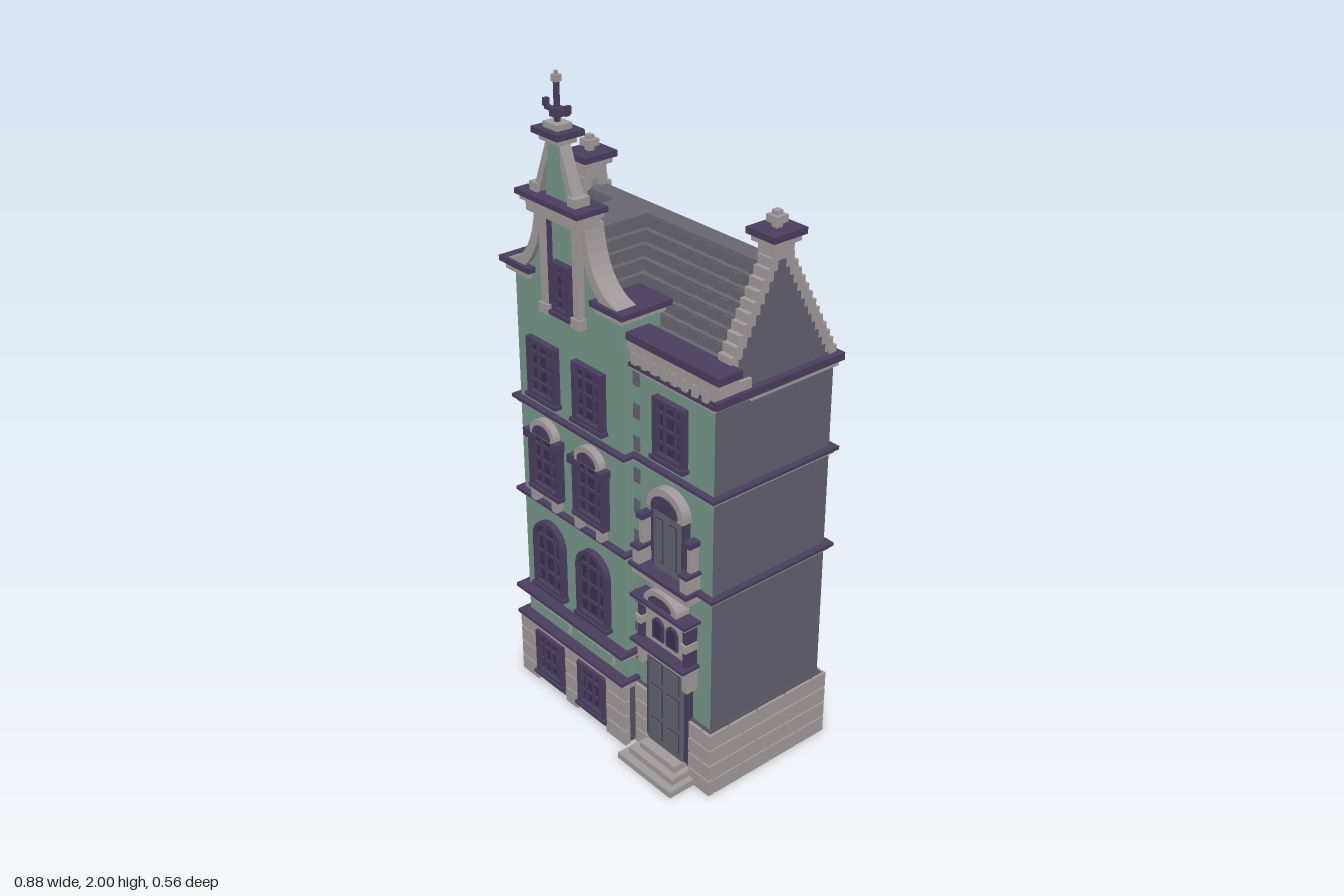
import * as THREE from 'three';

const mat = (name, color) => Object.assign(new THREE.MeshStandardMaterial({ color }), { name });
const stone = mat('pale stone', 0xa29a9a), purple = mat('purple trim', 0x4a3d5e), green = mat('green wall', 0x76978a);
const wall = mat('grey wall', 0x636070), roofMat = mat('roof tile', 0x68666f), glass = mat('dark glass', 0x35304a);
const doorMat = mat('door grey', 0x62636f), mortar = mat('mortar', 0x56525c);

export function createModel() {
  const root = new THREE.Group();
  root.name = 'townhouse';
  let target = root;
  const group = (name, build) => {
    const g = new THREE.Group(), old = target;
    g.name = name; old.add(g); target = g; build(); target = old;
  };
  const add = (name, geo, m) => {
    const mesh = new THREE.Mesh(geo, m);
    mesh.name = name; target.add(mesh);
    return mesh;
  };
  // Box given by its extents
  const box = (name, m, x0, x1, y0, y1, z0, z1) =>
    add(name, new THREE.BoxGeometry(x1 - x0, y1 - y0, z1 - z0).translate((x0 + x1) / 2, (y0 + y1) / 2, (z0 + z1) / 2), m);
  const extrude = (shape, z0, z1) =>
    new THREE.ExtrudeGeometry(shape, { depth: z1 - z0, bevelEnabled: false, curveSegments: 8 }).translate(0, 0, z0);
  const poly = pts => new THREE.Shape(pts.map(p => new THREE.Vector2(...p)));
  // Extrusion of a (z, y) profile along x
  const alongX = (shape, x0, x1) => extrude(shape, 0, x1 - x0).rotateY(-Math.PI / 2).translate(x1, 0, 0);
  const archShape = (cx, w, y0, y1, rise) => {
    const s = new THREE.Shape();
    s.moveTo(cx - w / 2, y0); s.lineTo(cx + w / 2, y0); s.lineTo(cx + w / 2, y1 - rise);
    s.absellipse(cx, y1 - rise, w / 2, rise, 0, Math.PI, false);
    s.closePath();
    return s;
  };

  const CX = -0.17, BAY = 0.2, SIDE = 0.165;

  // Walls
  group('walls', () => {
    box('mainBody', [wall, green, wall, wall, green, wall], -0.4, 0.4, 0.2, 1.26, -0.26, SIDE);
    box('frontBay', green, -0.4, 0.075, 0.2, 1.4, 0.05, BAY);
    for (let i = 0; i < 20; i++) {
      if (i % 2) box('quoin', wall, 0.072, 0.1, 0.24 + i * 0.05, 0.285 + i * 0.05, SIDE, SIDE + 0.004);
    }
  });

  // Stone base with staggered blocks
  group('stoneBase', () => {
    box('baseCore', mortar, -0.412, 0.412, 0, 0.218, -0.268, 0.175);
    box('bayBaseCore', mortar, -0.412, 0.085, 0, 0.218, 0, 0.212);
    const run = (a0, a1, p0, p1, alongZ) => {
      for (let r = 0; r < 4; r++) {
        for (let a = a0 - (r % 2) * 0.055; a < a1 - 0.004; a += 0.11) {
          const s = Math.max(a, a0), e = Math.min(a + 0.105, a1), y = r * 0.055;
          if (e - s < 0.008) continue;
          if (alongZ) box('block', stone, p0, p1, y, y + 0.05, s, e);
          else box('block', stone, s, e, y, y + 0.05, p0, p1);
        }
      }
    };
    run(-0.275, 0.175, 0.405, 0.42, true);
    run(-0.275, 0.222, -0.42, -0.405, true);
    run(-0.42, 0.42, -0.277, -0.262, false);
    for (const [a, b] of [[-0.42, -0.34], [-0.198, -0.142], [0.002, 0.092]]) run(a, b, 0.205, 0.224, false);
    for (const [a, b] of [[0.092, 0.145], [0.33, 0.42]]) run(a, b, 0.17, 0.185, false);
    box('bayPlinthCap', stone, -0.415, 0.088, 0.2, 0.22, 0.1, 0.226);
    box('bayPlinthEdge', purple, -0.42, 0.092, 0.22, 0.23, 0.1, 0.235);
  });

  // String courses wrapping the whole house
  for (const y of [0.648, 0.962]) group('stringCourse', () => {
    for (const [m, a, b, o] of [[stone, y, y + 0.012, 0.01], [purple, y + 0.012, y + 0.022, 0.02]]) {
      box('mainCourse', m, -0.4 - o, 0.4 + o, a, b, -0.26 - o, SIDE + o);
      box('bayCourse', m, -0.4 - o, 0.075 + o, a, b, 0, BAY + o);
    }
  });
  group('bayPanels', () => {
    box('panelCornice', stone, -0.41, 0.085, 0.302, 0.316, 0.1, 0.222);
    box('panelCorniceEdge', purple, -0.42, 0.092, 0.316, 0.328, 0.1, 0.235);
    for (const s of [-1, 1]) {
      box('panelFrame', stone, CX + s * 0.105 - 0.085, CX + s * 0.105 + 0.085, 0.245, 0.29, BAY, 0.208);
      box('panel', green, CX + s * 0.105 - 0.078, CX + s * 0.105 + 0.078, 0.252, 0.283, BAY, 0.213);
    }
  });

  // Windows: frame with hole, glass, glazing bars and sill
  const windowAt = (cx, w, y0, y1, z, rise = 0, cols = 3, rows = 4) => group('window', () => {
    const outline = (t) => rise ? archShape(cx, w - 2 * t, y0 + t, y1 - t, rise - t)
      : poly([[cx - w / 2 + t, y0 + t], [cx + w / 2 - t, y0 + t], [cx + w / 2 - t, y1 - t], [cx - w / 2 + t, y1 - t]]);
    const frame = outline(0);
    frame.holes.push(outline(0.014));
    add('frame', extrude(frame, z, z + 0.02), purple);
    add('glass', extrude(outline(0.012), z, z + 0.005), glass);
    for (let i = 1; i < cols; i++) {
      const x = cx - w / 2 + (w * i) / cols;
      box('upright', purple, x - 0.004, x + 0.004, y0 + 0.01, y1 - (rise ? rise * 0.3 : 0.01), z, z + 0.012);
    }
    for (let i = 1; i < rows; i++) {
      const y = y0 + ((y1 - y0) * i) / rows;
      const k = rise && y > y1 - rise ? 0.35 : 0.47;
      box('crossbar', purple, cx - w * k, cx + w * k, y - 0.004, y + 0.004, z, z + 0.012);
    }
    box('sill', purple, cx - w / 2 - 0.006, cx + w / 2 + 0.006, y0 - 0.008, y0 + 0.004, z, z + 0.026);
  });
  for (const s of [-1, 1]) {
    const x = CX + s * 0.104;
    windowAt(x, 0.13, 0.038, 0.192, 0.21, 0, 4, 3);
    windowAt(x, 0.142, 0.365, 0.605, BAY, 0.07);
    windowAt(x, 0.132, 0.715, 0.905, BAY, 0, 3, 4);
    windowAt(x, 0.13, 1.02, 1.2, BAY, 0, 3, 4);
    // Arched hood and brackets around the second-floor windows
    group('windowHood', () => {
      add('hoodArch', extrude(archShape(x, 0.116, 0.895, 0.952, 0.045), BAY, 0.224), stone);
      add('hoodInset', extrude(archShape(x, 0.08, 0.9, 0.935, 0.03), BAY, 0.228), purple);
      for (const t of [-1, 1]) {
        box('hoodEnd', purple, x + t * 0.067 - 0.01, x + t * 0.067 + 0.01, 0.88, 0.905, BAY, 0.235);
        box('sideStrip', purple, x + t * 0.067 - 0.005, x + t * 0.067 + 0.005, 0.72, 0.88, BAY, 0.222);
        box('sillBracket', stone, x + t * 0.05 - 0.011, x + t * 0.05 + 0.011, 0.67, 0.708, BAY, 0.226);
      }
    });
  }
  windowAt(0.235, 0.125, 1.02, 1.2, SIDE, 0, 3, 4);
  windowAt(CX, 0.078, 1.32, 1.47, BAY, 0, 2, 4);

  // Entrance: steps, door, portal and small arched light
  group('entrance', () => {
    for (let i = 0; i < 3; i++) box('step', stone, 0.12 + i * 0.02, 0.355 - i * 0.02, i * 0.02, i * 0.02 + 0.02, 0.1, 0.275 - i * 0.025);
    box('doorFrame', purple, 0.148, 0.326, 0.06, 0.395, 0.1, 0.186);
    box('door', doorMat, 0.162, 0.312, 0.06, 0.385, 0.1, 0.192);
    for (const s of [-1, 1]) for (const [a, b] of [[0.085, 0.15], [0.17, 0.27], [0.29, 0.36]]) {
      const x = 0.237 + s * 0.036;
      box('doorPanelEdge', purple, x - 0.026, x + 0.026, a, b, 0.18, 0.194);
      box('doorPanel', doorMat, x - 0.022, x + 0.022, a + 0.004, b - 0.004, 0.18, 0.197);
    }
    box('ledge', stone, 0.13, 0.345, 0.392, 0.408, 0.1, 0.22);
    box('ledgeTop', purple, 0.122, 0.352, 0.408, 0.418, 0.1, 0.228);
    box('portalPanel', stone, 0.15, 0.324, 0.418, 0.545, 0.1, 0.19);
    for (const s of [-1, 1]) {
      const x = 0.237 + s * 0.03;
      add('smallLight', extrude(archShape(x, 0.048, 0.438, 0.51, 0.024), 0.18, 0.196), purple);
      add('smallGlass', extrude(archShape(x, 0.032, 0.446, 0.502, 0.016), 0.18, 0.199), glass);
      const c = 0.237 + s * 0.096;
      box('portalColumn', purple, c - 0.008, c + 0.008, 0.418, 0.545, 0.1, 0.205);
      box('portalBlock', stone, c - 0.012, c + 0.012, 0.47, 0.495, 0.1, 0.212);
      box('doorBracket', stone, c - 0.011, c + 0.011, 0.33, 0.392, 0.1, 0.205);
    }
    box('portalCornice', stone, 0.13, 0.345, 0.545, 0.558, 0.1, 0.215);
    box('portalCorniceTop', purple, 0.12, 0.355, 0.558, 0.568, 0.1, 0.225);
    add('portalArch', extrude(archShape(0.237, 0.14, 0.568, 0.615, 0.04), 0.15, 0.212), stone);
    add('portalArchInset', extrude(archShape(0.237, 0.095, 0.572, 0.6, 0.024), 0.15, 0.215), purple);
  });

  // Balcony doorway on the second floor
  group('balcony', () => {
    box('balconySlab', stone, 0.12, 0.355, 0.635, 0.66, 0.1, 0.215);
    box('balconySlabTop', purple, 0.115, 0.36, 0.66, 0.672, 0.1, 0.225);
    box('balconyDoorFrame', purple, 0.165, 0.309, 0.67, 0.87, 0.1, 0.182);
    for (const s of [-1, 1]) {
      const x = 0.237 + s * 0.028;
      box('balconyDoor', doorMat, x - 0.026, x + 0.026, 0.675, 0.865, 0.1, 0.188);
      box('balconyDoorGroove', purple, x - 0.015, x + 0.015, 0.7, 0.84, 0.15, 0.19);
      box('balconyDoorPanel', doorMat, x - 0.011, x + 0.011, 0.705, 0.835, 0.15, 0.193);
      const c = 0.237 + s * 0.1;
      box('post', stone, c - 0.014, c + 0.014, 0.672, 0.72, 0.1, 0.215);
      box('postCap', purple, c - 0.018, c + 0.018, 0.72, 0.73, 0.1, 0.22);
      box('postShaft', stone, c - 0.008, c + 0.008, 0.73, 0.81, 0.16, 0.195);
      box('postTop', purple, c - 0.013, c + 0.013, 0.81, 0.826, 0.16, 0.203);
    }
    add('balconyHood', extrude(archShape(0.237, 0.15, 0.865, 0.94, 0.06), 0.15, 0.195), stone);
    add('balconyHoodInset', extrude(archShape(0.237, 0.105, 0.87, 0.918, 0.038), 0.15, 0.2), purple);
  });

  // Eaves
  group('eaves', () => {
    box('backFrieze', stone, -0.41, 0.41, 1.232, 1.25, -0.27, 0.05);
    box('backEdge', purple, -0.418, 0.422, 1.25, 1.272, -0.28, 0.05);
    box('rightReturn', purple, 0.3, 0.422, 1.25, 1.272, 0, 0.18);
    box('frontFrieze', stone, 0.075, 0.41, 1.24, 1.3, 0.05, 0.178);
    box('frontFriezeEdge', purple, 0.075, 0.416, 1.25, 1.262, 0.05, 0.184);
    for (let x = 0.095; x < 0.41; x += 0.04) box('bracket', stone, x, x + 0.018, 1.265, 1.3, 0.1, 0.19);
    box('frontCornice', stone, 0.075, 0.43, 1.3, 1.33, 0.11, 0.187);
    box('frontCorniceTop', purple, 0.075, 0.44, 1.33, 1.352, 0.11, 0.192);
  });

  // Stepped tile roof: main ridge along x, cross roof behind the front gable
  group('roof', () => {
    const N = 9, H = 0.3 / N, stepped = (c, half, d) => {
      const right = [];
      for (let i = 0; i < N; i++) {
        const w = half + d * (N - i);
        right.push([c + w, 1.27 + i * H], [c + w, 1.27 + (i + 1) * H]);
      }
      return poly([...right, ...right.map(([a, y]) => [2 * c - a, y]).reverse()]);
    };
    add('mainRoof', alongX(stepped(-0.06, 0.016, 0.0165), -0.365, 0.37), roofMat);
    add('crossRoof', extrude(stepped(CX, 0.056, 0.015), -0.06, 0.16), roofMat);
    box('ridge', roofMat, -0.36, 0.365, 1.555, 1.575, -0.09, -0.03);
    box('crossRidge', roofMat, -0.24, -0.1, 1.555, 1.575, -0.06, 0.16);
    // Raised tiles, staggered by row
    for (let i = 0; i < N; i++) for (let x = -0.34 + (i % 2) * 0.035; x < 0.31; x += 0.07) {
      const w = 0.016 + 0.0165 * (N - i), y = 1.27 + i * H;
      box('tile', roofMat, x, x + 0.035, y, y + H - 0.006, -0.06 - w - 0.003, -0.06 - w);
      if (x > 0.03) box('tile', roofMat, x, x + 0.035, y, y + H - 0.006, -0.06 + w, -0.06 + w + 0.003);
    }
  });

  // End gables with stepped coping and capped tops
  for (const [x, s, m] of [[-0.375, -1, green], [0.378, 1, wall]]) group('endGable', () => {
    const x0 = s > 0 ? 0.36 : -0.4, x1 = x0 + 0.04, zc = -0.052;
    add('gableWall', alongX(poly([[-0.255, 1.25], [0.15, 1.25], [zc, 1.62]]), x0, x1), m);
    for (const t of [-1, 1]) for (let i = 0; i < 14; i++) {
      const z = zc + t * (0.2 - i * 0.0143), y = 1.268 + i * 0.0262;
      box('copingStep', stone, x - 0.023, x + 0.025, y - 0.012, y + 0.026, z - 0.013, z + 0.013);
    }
    box('neck', stone, x - 0.03, x + 0.03, 1.6, 1.64, zc - 0.035, zc + 0.035);
    box('capLower', stone, x - 0.042, x + 0.042, 1.64, 1.658, zc - 0.048, zc + 0.048);
    box('cap', purple, x - 0.052, x + 0.052, 1.658, 1.676, zc - 0.058, zc + 0.058);
    box('knobStem', stone, x - 0.01, x + 0.01, 1.676, 1.722, zc - 0.01, zc + 0.01);
    box('knob', stone, x - 0.02, x + 0.02, 1.69, 1.71, zc - 0.02, zc + 0.02);
  });

  // Ornate front gable
  group('frontGable', () => {
    const g = new THREE.Shape();
    g.moveTo(CX - 0.225, 1.39); g.lineTo(CX + 0.225, 1.39);
    g.quadraticCurveTo(CX + 0.11, 1.43, CX + 0.095, 1.62);
    g.lineTo(CX - 0.095, 1.62);
    g.quadraticCurveTo(CX - 0.11, 1.43, CX - 0.225, 1.39);
    add('gableFace', extrude(g, 0.155, BAY), green);
    for (const s of [-1, 1]) {
      const v = new THREE.Shape(), X = a => CX + s * a;
      v.moveTo(X(0.24), 1.415);
      v.quadraticCurveTo(X(0.125), 1.44, X(0.108), 1.61);
      v.lineTo(X(0.082), 1.61);
      v.quadraticCurveTo(X(0.095), 1.43, X(0.215), 1.385);
      v.closePath();
      add('scroll', extrude(v, 0.15, 0.215), stone);
      const span = (name, m, a, b, ...r) => box(name, m, Math.min(X(a), X(b)), Math.max(X(a), X(b)), ...r);
      span('shoulder', stone, 0.15, 0.255, 1.378, 1.398, 0.06, 0.215);
      span('shoulderCap', purple, 0.135, 0.272, 1.398, 1.414, 0.05, 0.226);
      span('pilaster', stone, 0.058, 0.084, 1.33, 1.61, 0.19, 0.22);
      span('pilasterDrop', stone, 0.052, 0.09, 1.305, 1.335, 0.19, 0.226);
      span('pilasterEdge', purple, 0.053, 0.057, 1.335, 1.6, 0.19, 0.215);
      // Slanted brace beside the pinnacle
      add('brace', extrude(poly([[X(0.09), 1.66], [X(0.066), 1.66], [X(0.03), 1.755], [X(0.03), 1.81]]), 0.192, 0.228), stone);
      span('braceFoot', stone, 0.066, 0.098, 1.655, 1.685, 0.185, 0.236);
      span('finialArm', purple, 0.01, 0.045, 1.89, 1.9, 0.203, 0.217);
      span('finialTip', purple, 0.04, 0.053, 1.897, 1.918, 0.203, 0.217);
    }
    box('pedimentLower', stone, CX - 0.112, CX + 0.112, 1.6, 1.63, 0.165, 0.24);
    box('pedimentMiddle', stone, CX - 0.125, CX + 0.125, 1.63, 1.645, 0.16, 0.25);
    box('pedimentCap', purple, CX - 0.135, CX + 0.135, 1.645, 1.66, 0.155, 0.26);
    add('pinnacle', extrude(poly([[CX - 0.042, 1.66], [CX + 0.042, 1.66], [CX + 0.026, 1.83], [CX - 0.026, 1.83]]), 0.197, 0.223), green);
    box('topCapLower', stone, CX - 0.042, CX + 0.042, 1.815, 1.833, 0.18, 0.24);
    box('topCap', purple, CX - 0.056, CX + 0.056, 1.833, 1.85, 0.165, 0.255);
    box('finialBase', stone, CX - 0.03, CX + 0.03, 1.85, 1.866, 0.185, 0.235);
    box('finialStem', purple, CX - 0.006, CX + 0.006, 1.866, 1.98, 0.204, 0.216);
    box('finialCollar', purple, CX - 0.015, CX + 0.015, 1.88, 1.905, 0.195, 0.225);
    box('finialTop', stone, CX - 0.01, CX + 0.01, 1.972, 1.99, 0.2, 0.22);
    box('finialPoint', stone, CX - 0.004, CX + 0.004, 1.99, 2, 0.206, 0.214);
  });
  return root;
}
